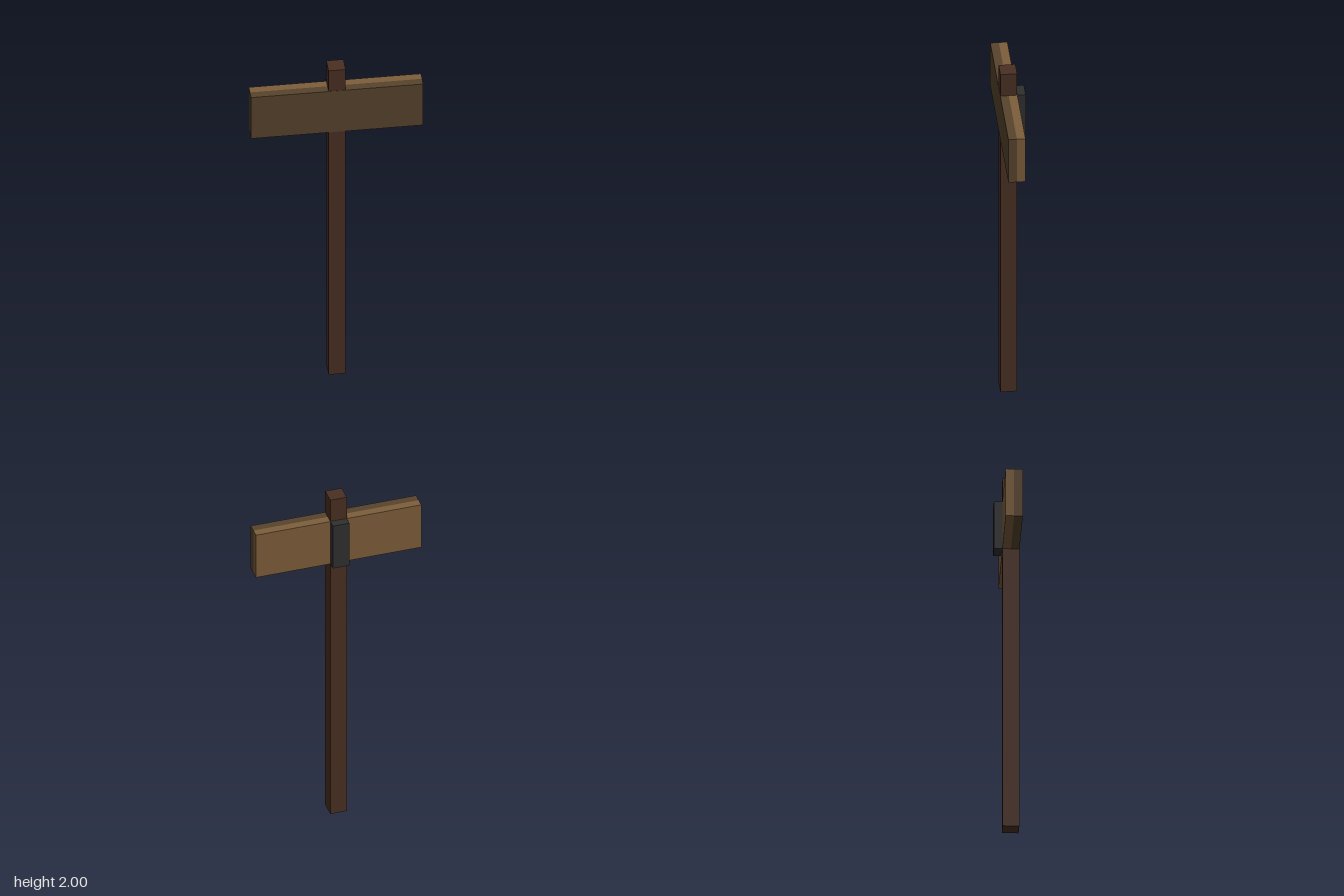
import * as THREE from 'three';

// Box given by its extents on each axis
function block(name, color, [x0, x1], [y0, y1], [z0, z1]) {
  const mesh = new THREE.Mesh(
    new THREE.BoxGeometry(x1 - x0, y1 - y0, z1 - z0),
    new THREE.MeshStandardMaterial({ color })
  );
  mesh.position.set((x0 + x1) / 2, (y0 + y1) / 2, (z0 + z1) / 2);
  mesh.name = name;
  return mesh;
}

export function createModel() {
  const model = new THREE.Group();
  model.name = 'signpost';

  const postX = [-0.045, 0.045];
  const boardX = [-0.453, 0.453];
  const boardY = [1.595, 1.865];

  // Square post, just inside the board's faces
  model.add(block('post', 0x4a3022, postX, [0, 2], [-0.022, 0.066]));

  // Sign board: dark front layer and lighter back layer
  const board = new THREE.Group();
  board.name = 'signBoard';
  board.add(
    block('boardFront', 0x59442d, boardX, boardY, [0.022, 0.067]),
    block('boardBack', 0x7d5e3b, boardX, boardY, [-0.023, 0.022])
  );
  model.add(board);

  // Dark bracket behind the post
  model.add(block('bracket', 0x303030, postX, boardY, [-0.067, -0.023]));

  return model;
}
